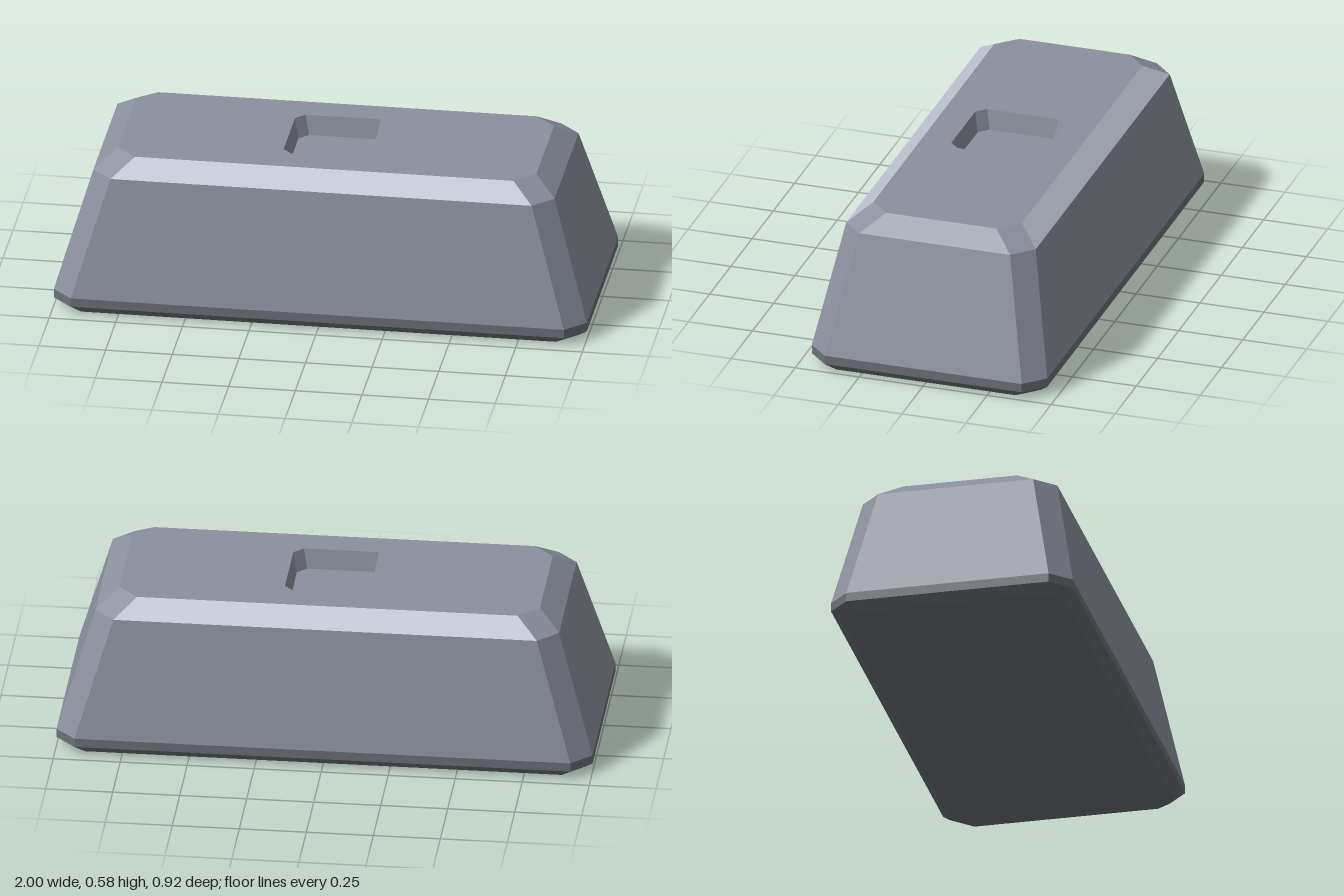
import * as THREE from 'three';

const material = (name, color) => {
  const m = new THREE.MeshStandardMaterial({ color, flatShading: true });
  m.name = name;
  return m;
};

// Rectangle with cut corners, as [x, z] points; side 0 is the front and side 4 the back
function octagon(hx, hz, cut) {
  const a = hx - cut, b = hz - cut;
  return [[-a, hz], [a, hz], [hx, b], [hx, -b], [a, -hz], [-a, -hz], [-hx, -b], [-hx, b]];
}

// Faces joining a lower ring to an upper ring, for the chosen sides only
function band(lower, upper, sides = [0, 1, 2, 3, 4, 5, 6, 7]) {
  const pos = [];
  const at = (ring, i) => {
    const [x, z] = ring.points[i % 8];
    return [x, ring.y, z];
  };
  for (const i of sides) {
    const a = at(lower, i), b = at(lower, i + 1), c = at(upper, i + 1), d = at(upper, i);
    pos.push(...a, ...b, ...c, ...a, ...c, ...d);
  }
  const g = new THREE.BufferGeometry();
  g.setAttribute('position', new THREE.Float32BufferAttribute(pos, 3));
  g.computeVertexNormals();
  return g;
}

// Flat horizontal face filling a ring, optionally with a hole
function cap(ring, hole, down = false) {
  const flat = (r) => r.points.map(([x, z]) => new THREE.Vector2(x, -z));
  const shape = new THREE.Shape(flat(ring));
  if (hole) shape.holes.push(new THREE.Path(flat(hole)));
  return new THREE.ShapeGeometry(shape)
    .rotateX(down ? Math.PI / 2 : -Math.PI / 2)
    .translate(0, ring.y, 0);
}

export function createModel() {
  const model = new THREE.Group();
  model.name = 'ingot';
  const metal = material('metal', 0x8b909d);
  const highlight = material('light edge metal', 0xb9becc);
  const dark = material('dark base metal', 0x6b7078);

  const ring = (y, hx, hz, cut = 0.075) => ({ y, points: octagon(hx, hz, cut) });
  const foot = ring(0, 0.965, 0.425);
  const baseLow = ring(0.033, 1, 0.46);
  const baseHigh = ring(0.067, 1, 0.46);
  const shoulder = ring(0.523, 0.865, 0.37);
  const top = ring(0.583, 0.785, 0.29);
  const rim = ring(0.583, 0.175, 0.175, 0.035);
  const floor = ring(0.508, 0.16, 0.16, 0.035);

  const add = (name, geometry, mat) => {
    const mesh = new THREE.Mesh(geometry, mat);
    mesh.name = name;
    model.add(mesh);
  };

  // Dark base with a bevelled lower edge
  add('underside', cap(foot, null, true), dark);
  add('baseBevel', band(foot, baseLow), dark);
  add('baseBand', band(baseLow, baseHigh), dark);

  // Tapered body and top bevel, lighter along the two long edges
  add('slopedSides', band(baseHigh, shoulder), metal);
  add('longTopBevels', band(shoulder, top, [0, 4]), highlight);
  add('endTopBevels', band(shoulder, top, [1, 2, 3, 5, 6, 7]), metal);

  // Top face with a shallow recessed pocket
  add('topFace', cap(top, rim), metal);
  add('pocketWalls', band(rim, floor), metal);
  add('pocketFloor', cap(floor), metal);

  return model;
}
